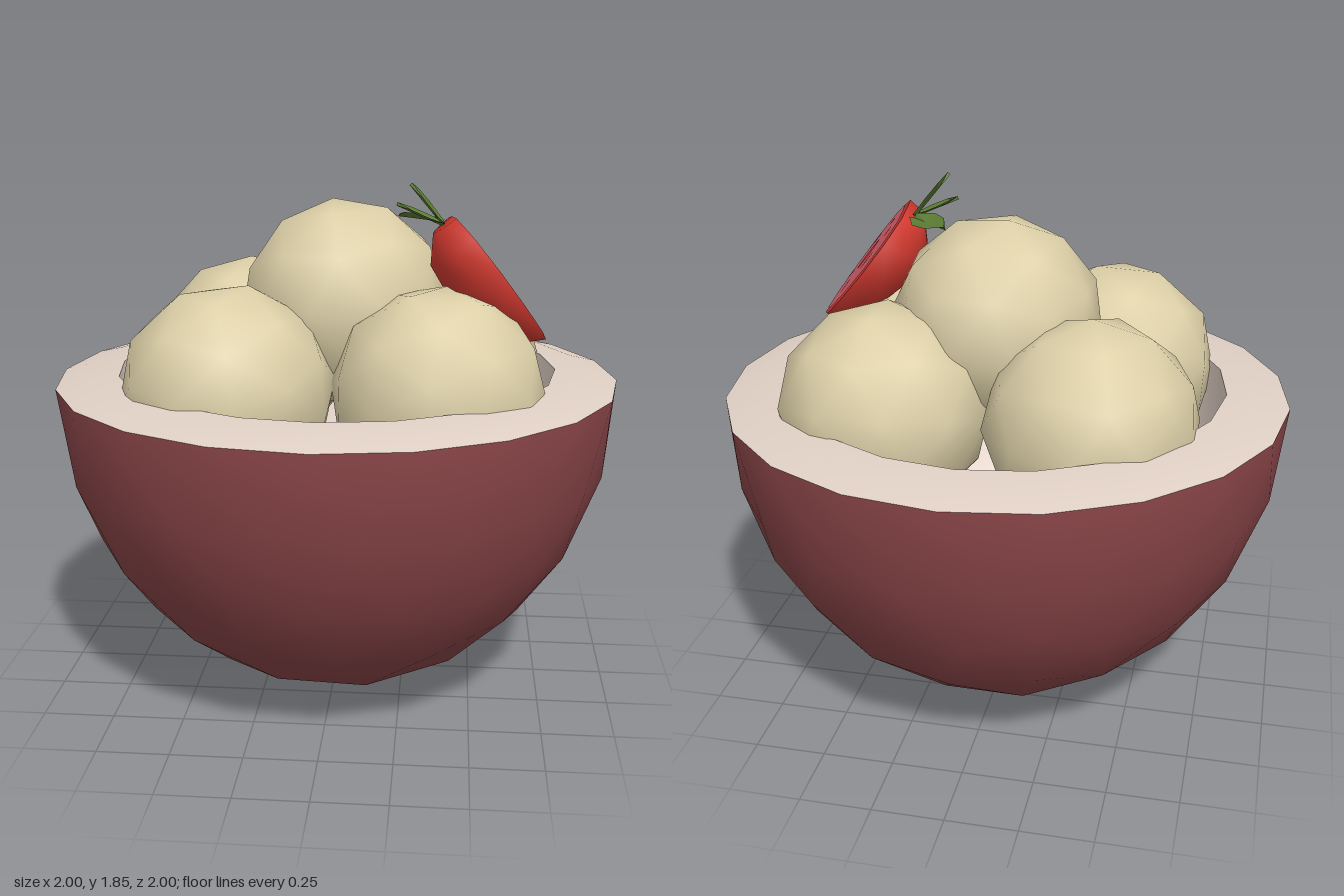
import * as THREE from 'three';

const mat = (name, color, extra = {}) => {
  const m = new THREE.MeshStandardMaterial({ color, ...extra });
  m.name = name;
  return m;
};

export function createModel() {
  const model = new THREE.Group();
  model.name = 'dessertBowl';
  const shellRed = mat('shellRed', 0x8a4548);
  const flesh = mat('fleshCream', 0xe0d0c5);
  const ice = mat('iceCream', 0xddd0a8);
  const berryRed = mat('berryRed', 0xd43a30);
  const berryPink = mat('berryPink', 0xd2606d);
  const leafGreen = mat('leafGreen', 0x5c7c34, { side: THREE.DoubleSide });
  const eyeBrown = mat('eyeBrown', 0x54393a);

  const add = (parent, name, geometry, material) => {
    const mesh = new THREE.Mesh(geometry, material);
    mesh.name = name;
    parent.add(mesh);
    return mesh;
  };
  const v2 = (list) => list.map(([x, y]) => new THREE.Vector2(x, y));

  // Shell: lower half of a subdivided icosahedron standing on one corner
  const RIM = 1.14;
  const ball = new THREE.IcosahedronGeometry(1, 3);
  ball.rotateZ(-Math.atan(2 / (1 + Math.sqrt(5))));
  ball.scale(1, RIM, 1);
  const bp = ball.attributes.position, bn = ball.attributes.normal;
  const pos = [], nor = [];
  for (let i = 0; i < bp.count; i += 3) {
    if (bp.getY(i) + bp.getY(i + 1) + bp.getY(i + 2) > -0.01) continue;
    for (let k = i; k < i + 3; k++) {
      pos.push(bp.getX(k), bp.getY(k) + RIM, bp.getZ(k));
      nor.push(bn.getX(k), bn.getY(k), bn.getZ(k));
    }
  }
  const shell = new THREE.BufferGeometry();
  shell.setAttribute('position', new THREE.Float32BufferAttribute(pos, 3));
  shell.setAttribute('normal', new THREE.Float32BufferAttribute(nor, 3));
  add(model, 'shell', shell, shellRed);

  // Rim and hollow inside
  add(model, 'rim', new THREE.LatheGeometry(v2([[1, RIM], [0.9, 1.165], [0.78, 1.175]]), 20), flesh);
  const hollow = [];
  for (let i = 0; i <= 6; i++) {
    const a = (i / 6) * Math.PI / 2;
    hollow.push([0.78 * Math.cos(a), 1.175 - 0.95 * Math.sin(a)]);
  }
  add(model, 'hollow', new THREE.LatheGeometry(v2(hollow), 20), flesh);

  // Three dark eyes laid on the underside of the shell
  const ray = new THREE.Ray(new THREE.Vector3(), new THREE.Vector3(0, 1, 0));
  const [a, b, c, hit] = [0, 1, 2, 3].map(() => new THREE.Vector3());
  const undersideY = (x, z) => {
    ray.origin.set(x, -1, z);
    for (let i = 0; i < pos.length; i += 9) {
      a.fromArray(pos, i); b.fromArray(pos, i + 3); c.fromArray(pos, i + 6);
      if (ray.intersectTriangle(a, b, c, false, hit)) return hit.y;
    }
    return 0;
  };
  for (const [x, z, turn] of [[0.3, 0.17, 0.5], [0.13, -0.31, -1.15], [-0.25, 0.14, 2.6]]) {
    const eye = new THREE.RingGeometry(0.001, 0.115, 14, 5);
    eye.rotateX(Math.PI / 2);
    eye.scale(0.8, 1, 1);
    eye.rotateY(-turn);
    eye.translate(x, 0, z);
    const p = eye.attributes.position;
    for (let i = 0; i < p.count; i++) p.setY(i, undersideY(p.getX(i), p.getZ(i)) - 0.006);
    eye.computeVertexNormals();
    add(model, 'shellEye', eye, eyeBrown);
  }

  // Scoops: four in the bowl and one on top
  const scoops = [[-0.35, 1.15, -0.3], [0.37, 1.15, -0.3], [-0.345, 1.15, 0.32], [0.37, 1.15, 0.3], [0.03, 1.4, -0.02]];
  scoops.forEach(([x, y, z], i) => {
    const scoop = add(model, i < 4 ? 'scoop' : 'topScoop', new THREE.IcosahedronGeometry(0.372, 1), ice);
    scoop.position.set(x, y, z);
    scoop.rotation.set(0.25 * i, 0.9 * i, 0.55);
  });

  // Half berry: local y points to the stalk end, local z out of the cut face
  const berry = new THREE.Group();
  berry.name = 'halfBerry';
  const up = new THREE.Vector3(-0.62, 0.78, 0).normalize();
  const out = new THREE.Vector3(0.78, 0.62, -0.15).normalize();
  const side = new THREE.Vector3().crossVectors(up, out).normalize();
  out.crossVectors(side, up);
  berry.quaternion.setFromRotationMatrix(new THREE.Matrix4().makeBasis(side, up, out));
  berry.position.set(0.555, 1.54, 0.16);
  model.add(berry);

  const profile = [[0.001, -0.285], [0.09, -0.24], [0.165, -0.12], [0.205, 0.03], [0.185, 0.16], [0.1, 0.24], [0.001, 0.245]];
  const body = new THREE.LatheGeometry(v2(profile), 6, Math.PI / 2, Math.PI);
  body.scale(1, 1, 0.85);
  add(berry, 'berryBody', body, berryRed);
  const outline = [...profile, ...profile.slice(1, -1).reverse().map(([x, y]) => [-x, y])];
  const cut = (name, scale, z, material) => {
    const g = new THREE.ShapeGeometry(new THREE.Shape(v2(outline.map(([x, y]) => [x * scale, y * scale]))));
    add(berry, name, g, material).position.z = z;
  };
  cut('berryEdge', 1, 0, berryRed);
  cut('berryFlesh', 0.91, 0.004, berryPink);

  // Red core and short marks around it on the cut face
  const mark = (x, y, w, h, turn) => {
    const m = add(berry, 'berryMark', new THREE.CircleGeometry(1, 8), berryRed);
    m.scale.set(w, h, 1);
    m.position.set(x, y, 0.008);
    m.rotation.z = turn;
  };
  mark(0, 0.01, 0.04, 0.075, 0);
  for (const s of [-1, 1]) {
    mark(s * 0.1, 0.03, 0.012, 0.045, s * 0.1);
    mark(s * 0.06, -0.12, 0.012, 0.035, s * 0.5);
    mark(s * 0.05, 0.15, 0.012, 0.025, s * 0.6);
  }

  // Leaves: pointed strips creased along the middle
  const leaf = (base, tip, facing, width) => {
    const s = new THREE.Vector3(...base), e = new THREE.Vector3(...tip);
    const n = new THREE.Vector3(...facing).normalize();
    const across = new THREE.Vector3().subVectors(e, s).cross(n).normalize();
    const p = [];
    const rows = [[0, 0.15], [0.35, 0.5], [0.7, 0.42], [1, 0]];
    const at = ([t, w], k) => s.clone().lerp(e, t).addScaledVector(across, k * w * width)
      .addScaledVector(n, k === 0 ? -0.012 : 0);
    for (let i = 0; i < 3; i++) for (const k of [-1, 1]) {
      const q = [at(rows[i], 0), at(rows[i], k), at(rows[i + 1], k), at(rows[i + 1], 0)];
      if (k < 0) q.reverse();
      for (const j of [0, 1, 2, 0, 2, 3]) p.push(...q[j].toArray());
    }
    const g = new THREE.BufferGeometry();
    g.setAttribute('position', new THREE.Float32BufferAttribute(p, 3));
    g.computeVertexNormals();
    add(model, 'berryLeaf', g, leafGreen);
  };
  leaf([0.38, 1.71, 0.16], [0.27, 1.85, 0.24], [0.8, 0.6, 0], 0.11);
  leaf([0.37, 1.72, 0.12], [0.22, 1.72, -0.02], [0.5, 0.85, 0.1], 0.1);
  leaf([0.38, 1.71, 0.17], [0.22, 1.78, 0.18], [0.4, 0.9, 0], 0.1);

  return model;
}
